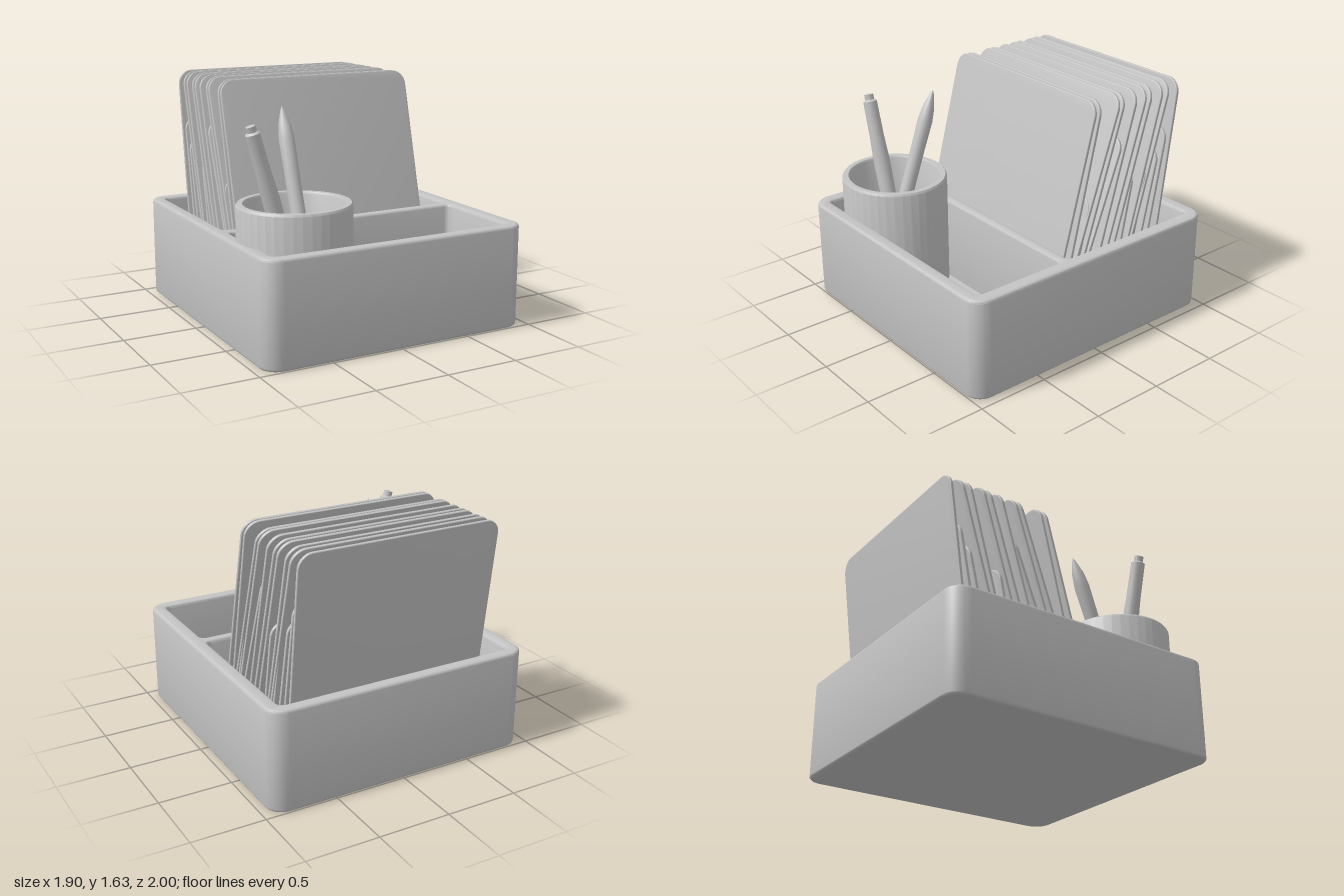
import * as THREE from 'three';
import { toCreasedNormals } from 'three/addons/utils/BufferGeometryUtils.js';

const V2 = (x, y) => new THREE.Vector2(x, y);
const V3 = (x, y, z) => new THREE.Vector3(x, y, z);

// Rounded rectangle outline, usable as a shape or a hole
function roundedRect(x0, y0, x1, y1, r, Type = THREE.Shape) {
  const s = new Type();
  s.absarc(x1 - r, y0 + r, r, -Math.PI / 2, 0);
  s.absarc(x1 - r, y1 - r, r, 0, Math.PI / 2);
  s.absarc(x0 + r, y1 - r, r, Math.PI / 2, Math.PI);
  s.absarc(x0 + r, y0 + r, r, Math.PI, Math.PI * 1.5);
  s.closePath();
  return s;
}

// Extrusion from 0 to depth with rounded edges that stay inside the outline
function extrude(shape, depth, bevel) {
  const g = new THREE.ExtrudeGeometry(shape, {
    depth: depth - 2 * bevel, bevelEnabled: true, bevelThickness: bevel,
    bevelSize: bevel, bevelOffset: -bevel, bevelSegments: 3, curveSegments: 8,
  });
  g.translate(0, 0, bevel);
  return toCreasedNormals(g, 0.6);
}

export function createModel() {
  const group = new THREE.Group();
  group.name = 'deskOrganizer';
  const grey = new THREE.MeshStandardMaterial({ color: 0xc4c4c4 });
  grey.name = 'plain grey';

  const add = (name, geometry, parent = group) => {
    const m = new THREE.Mesh(geometry, grey);
    m.name = name;
    parent.add(m);
    return m;
  };

  // Tray walls with a back pocket for cards and a front pocket
  const walls = roundedRect(-0.95, -1, 0.95, 1, 0.12);
  walls.holes.push(
    roundedRect(-0.86, -0.18, 0.85, 0.91, 0.04, THREE.Path),
    roundedRect(-0.86, -0.91, 0.85, -0.25, 0.04, THREE.Path),
  );
  add('trayWalls', extrude(walls, 0.7, 0.02).rotateX(-Math.PI / 2));
  add('trayBase', extrude(roundedRect(-0.945, -0.995, 0.945, 0.995, 0.12), 0.1, 0.02)
    .rotateX(-Math.PI / 2));
  add('cardPocketFloor', new THREE.BoxGeometry(1.72, 0.12, 1.1)).position.set(-0.005, 0.14, -0.365);

  // Leaning cards: z at the tray rim, z at the top edge, height of the top edge
  const cards = new THREE.Group();
  cards.name = 'cards';
  group.add(cards);
  const rim = 0.7, foot = 0.22;
  function addCard(name, zRim, zTop, yTop, halfWidth) {
    const slope = (zTop - zRim) / (yTop - rim);
    const length = (yTop - foot) * Math.hypot(1, slope);
    const r = Math.min(0.1, length / 4);
    const g = extrude(roundedRect(-halfWidth, 0, halfWidth, length, r), 0.022, 0.005);
    g.translate(0, 0, -0.011);
    const card = add(name, g, cards);
    card.rotation.x = Math.atan(slope);
    card.position.set(-0.005, foot, zRim + slope * (foot - rim));
  }
  [[0.07, -0.17], [0, -0.21], [-0.07, -0.38], [-0.13, -0.42], [-0.27, -0.53],
    [-0.34, -0.62], [-0.40, -0.67], [-0.53, -0.77], [-0.57, -0.83], [-0.79, -0.91],
  ].forEach(([a, b]) => addCard('card', a, b, 1.625, 0.72));
  [[-0.08, -0.15, 0.97], [-0.19, -0.42, 1.32], [-0.46, -0.53, 1.06],
    [-0.58, -0.66, 1.07], [-0.66, -0.76, 1.16], [-0.72, -0.83, 1.3],
  ].forEach(([a, b, y]) => addCard('shortCard', a, b, y, 0.712));

  // Round pen cup
  const cupProfile = [[0, 0], [0.36, 0], [0.375, 0.015], [0.375, 0.81], [0.365, 0.825],
    [0.33, 0.825], [0.32, 0.81], [0.31, 0.06], [0, 0.06]].map(([x, y]) => V2(x, y));
  const cup = add('penCup', toCreasedNormals(new THREE.LatheGeometry(cupProfile, 40), 0.6));
  cup.scale.z = 0.955;
  cup.position.set(-0.54, 0.1, 0.56);

  // Turned stick from a to b; profile gives [radius, fraction of length]
  function addStick(name, a, b, profile) {
    const dir = b.clone().sub(a);
    const len = dir.length();
    const points = profile.map(([r, t]) => V2(r, t * len));
    const stick = add(name, toCreasedNormals(new THREE.LatheGeometry(points, 14), 0.6));
    stick.position.copy(a);
    stick.quaternion.setFromUnitVectors(V3(0, 1, 0), dir.normalize());
  }
  addStick('pen', V3(-0.5, 0.25, 0.56), V3(-0.835, 1.43, 0.555),
    [[0, 0], [0.05, 0], [0.058, 0.6], [0.05, 0.75], [0.048, 0.955], [0.032, 0.965],
      [0.032, 0.995], [0, 1]]);
  addStick('pencil', V3(-0.485, 0.18, 0.72), V3(-0.475, 1.49, 0.26),
    [[0, 0], [0.05, 0], [0.05, 0.7], [0.053, 0.84], [0.042, 0.91], [0.014, 0.98], [0, 1]]);

  // Short sticks lying low in the cup
  const stub = [[0, 0], [0.035, 0], [0.035, 0.95], [0, 1]];
  addStick('stub', V3(-0.5, 0.2, 0.62), V3(-0.65, 0.55, 0.44), stub);
  addStick('stub', V3(-0.45, 0.2, 0.45), V3(-0.36, 0.5, 0.6), stub);

  return group;
}
